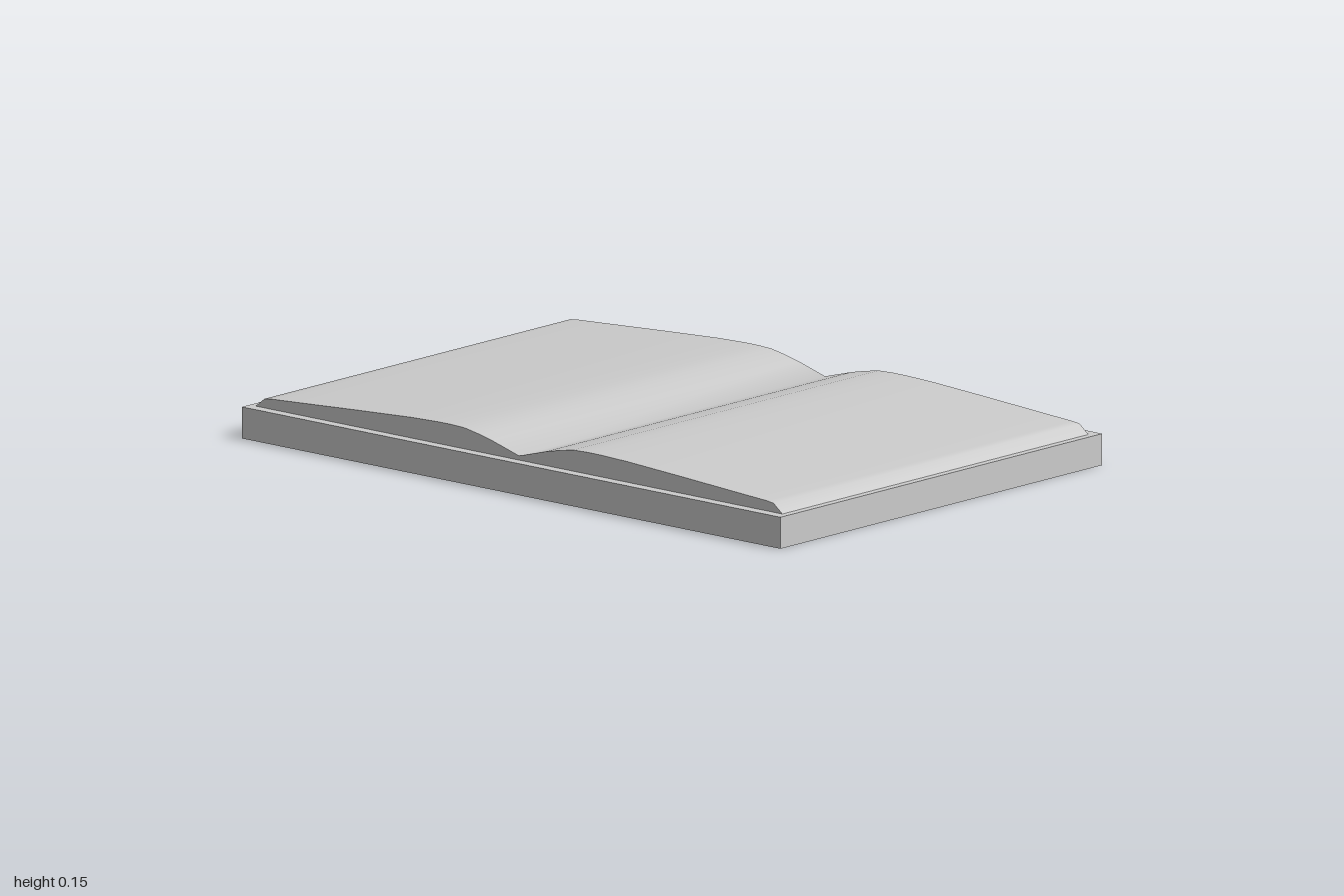
import * as THREE from 'three';
import { toCreasedNormals } from 'three/addons/utils/BufferGeometryUtils.js';

export function createModel() {
  const group = new THREE.Group();
  group.name = 'openBook';
  const material = new THREE.MeshStandardMaterial({ color: 0xcccccc });

  // Flat slab under the pages
  const baseHeight = 0.09;
  const base = new THREE.Mesh(new THREE.BoxGeometry(2, baseHeight, 1.345), material);
  base.name = 'base';
  base.position.y = baseHeight / 2;
  group.add(base);

  // Half profile of the pages, from the centre fold to the bevelled outer edge
  const half = [
    [0.1, 0.13], [0.15, 0.141], [0.2, 0.15], [0.25, 0.152], [0.3, 0.152],
    [0.4, 0.149], [0.6, 0.138], [0.8, 0.126], [0.92, 0.119], [0.945, 0.116], [0.978, 0.09],
  ];
  const profile = [
    ...half.map(([x, y]) => [-x, y]).reverse(),
    [0, 0.102],
    ...half,
  ];
  const shape = new THREE.Shape(profile.map(([x, y]) => new THREE.Vector2(x, y)));

  // Page block: the mirrored profile swept from back to front
  const depth = 1.28;
  const pagesGeometry = new THREE.ExtrudeGeometry(shape, { depth, bevelEnabled: false });
  pagesGeometry.translate(0, 0, -depth / 2);
  const pages = new THREE.Mesh(toCreasedNormals(pagesGeometry, 0.6), material);
  pages.name = 'pages';
  group.add(pages);

  return group;
}
